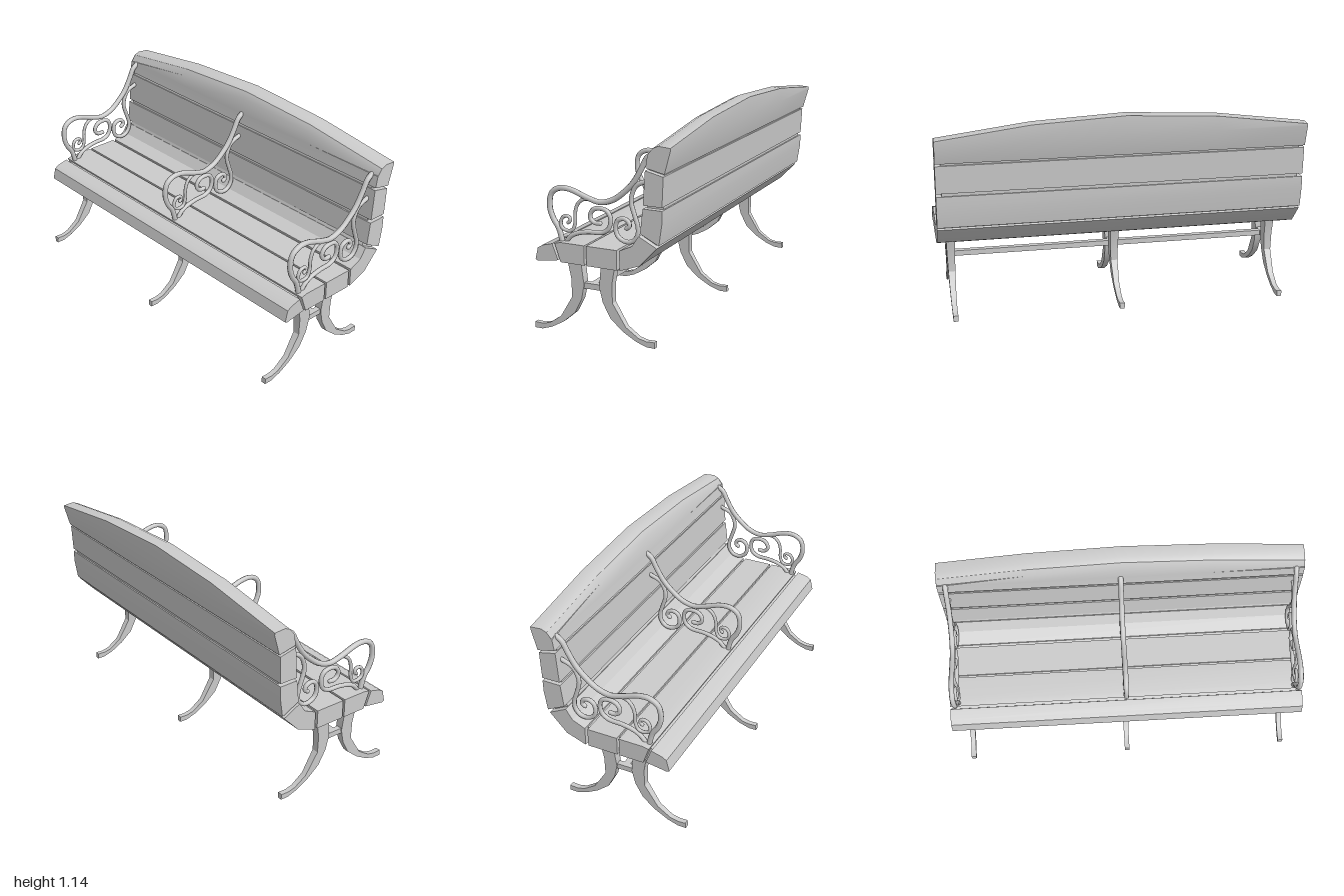
import * as THREE from 'three';
import { toCreasedNormals } from 'three/addons/utils/BufferGeometryUtils.js';

const material = new THREE.MeshStandardMaterial({ color: 0xcccccc });

function addMesh(parent, name, geometry) {
  const mesh = new THREE.Mesh(geometry, material);
  mesh.name = name;
  parent.add(mesh);
  return mesh;
}

// Extrudes a [z, y] side profile across x, centred on x = 0; rule(v) may move vertices.
function sideExtrude(profile, width, steps = 1, rule = null) {
  const shape = new THREE.Shape(profile.map(([z, y]) => new THREE.Vector2(z, y)));
  const geo = new THREE.ExtrudeGeometry(shape, { depth: width, steps, bevelEnabled: false });
  geo.rotateY(-Math.PI / 2).translate(width / 2, 0, 0);
  if (rule) {
    const pos = geo.attributes.position;
    const v = new THREE.Vector3();
    for (let i = 0; i < pos.count; i++) {
      rule(v.fromBufferAttribute(pos, i));
      pos.setXYZ(i, v.x, v.y, v.z);
    }
  }
  return toCreasedNormals(geo, 0.5);
}

// Boards from the front of the seat to the middle of the back
const planks = [
  [[0.35, 0.402], [0.335, 0.465], [0.31, 0.48], [0.25, 0.496], [0.218, 0.413], [0.335, 0.395]],
  [[0.236, 0.5], [0.2, 0.508], [0.067, 0.508], [0.067, 0.405], [0.203, 0.405]],
  [[0.055, 0.508], [-0.115, 0.508], [-0.115, 0.405], [0.055, 0.405]],
  [[-0.13, 0.508], [-0.2, 0.54], [-0.237, 0.595], [-0.334, 0.545], [-0.24, 0.445], [-0.13, 0.405]],
  [[-0.245, 0.61], [-0.26, 0.735], [-0.363, 0.735], [-0.362, 0.67], [-0.345, 0.56]],
  [[-0.262, 0.752], [-0.274, 0.924], [-0.37, 0.902], [-0.363, 0.752]],
];

// Top board, its upper edge arched along x
const topPlank = [
  [-0.277, 0.937], [-0.287, 1.0], [-0.293, 1.09], [-0.315, 1.125], [-0.345, 1.138],
  [-0.408, 1.133], [-0.408, 1.03], [-0.376, 0.915],
];
function archRule(v) {
  const a = Math.abs(v.x);
  if (v.y > 1.035) v.y -= a < 0.5 ? a * 0.052 : 0.026 + (a - 0.5) * 0.128;
}

// Inner shell that closes the gaps between the boards
const core = [
  [0.25, 0.482], [0.2, 0.497], [-0.13, 0.498], [-0.207, 0.537], [-0.25, 0.605], [-0.268, 0.735],
  [-0.282, 0.93], [-0.3, 0.97], [-0.37, 0.95], [-0.363, 0.9], [-0.355, 0.735], [-0.354, 0.67],
  [-0.333, 0.565], [-0.24, 0.455], [-0.13, 0.414], [0.2, 0.414], [0.25, 0.43],
];

// Front leg outline; the rear leg is its mirror image
const LEG_MID = 0.0615;
const leg = [
  [0.2, 0.42], [0.178, 0.305], [0.178, 0.205], [0.25, 0.088], [0.32, 0.04], [0.363, 0.03],
  [0.408, 0.032], [0.41, 0], [0.365, 0], [0.305, 0.02], [0.235, 0.06], [0.165, 0.12],
  [0.123, 0.2], [0.105, 0.28], [0.112, 0.34], [0.12, 0.42],
];
const taper = (v) => { v.x *= 2 * (0.013 + 0.03 * v.y); };

// Armrest centre lines in [z, y]
const armrestRods = {
  armRail: { r: 0.0145, pts: [
    [-0.29, 0.995], [-0.262, 0.975], [-0.23, 0.915], [-0.187, 0.845], [-0.133, 0.79],
    [-0.075, 0.748], [-0.005, 0.728], [0.066, 0.743], [0.166, 0.776], [0.227, 0.776],
    [0.272, 0.746], [0.284, 0.674], [0.266, 0.616], [0.235, 0.568], [0.213, 0.49]] },
  frontScroll: { r: 0.0095, pts: [
    [0.18, 0.603], [0.167, 0.616], [0.176, 0.634], [0.205, 0.632], [0.222, 0.605],
    [0.217, 0.575], [0.19, 0.561], [0.157, 0.567], [0.14, 0.605], [0.138, 0.66],
    [0.123, 0.705], [0.09, 0.733], [0.045, 0.738]] },
  middleScroll: { r: 0.012, pts: [
    [-0.002, 0.62], [0.028, 0.62], [0.051, 0.64], [0.051, 0.665], [0.03, 0.69],
    [-0.008, 0.697], [-0.045, 0.685], [-0.061, 0.65], [-0.05, 0.6], [-0.015, 0.575],
    [0.065, 0.568], [0.125, 0.555], [0.165, 0.535], [0.2, 0.495]] },
  rearScroll: { r: 0.012, pts: [
    [-0.15, 0.613], [-0.166, 0.628], [-0.157, 0.65], [-0.133, 0.66], [-0.1, 0.647],
    [-0.088, 0.61], [-0.1, 0.568], [-0.139, 0.545], [-0.18, 0.55], [-0.208, 0.583],
    [-0.211, 0.628], [-0.195, 0.68], [-0.176, 0.75], [-0.185, 0.8], [-0.21, 0.838],
    [-0.275, 0.865]] },
};

function addRod(parent, name, { r, pts }) {
  const path = pts.map(([z, y]) => new THREE.Vector3(0, y, z));
  const curve = new THREE.CatmullRomCurve3(path);
  addMesh(parent, name, new THREE.TubeGeometry(curve, pts.length * 4, r, 8));
  for (const end of [path[0], path[path.length - 1]]) {
    addMesh(parent, name + 'End', new THREE.SphereGeometry(r, 8, 6)).position.copy(end);
  }
}

export function createModel() {
  const bench = new THREE.Group();
  bench.name = 'bench';

  // Seat and back boards
  planks.forEach((p, i) =>
    addMesh(bench, i < 3 ? 'seatPlank' : 'backPlank', sideExtrude(p, 2)));
  addMesh(bench, 'topPlank', sideExtrude(topPlank, 2, 4, archRule));
  addMesh(bench, 'innerShell', sideExtrude(core, 1.94));

  // Leg pairs with a short tie between them
  const rearLeg = leg.map(([z, y]) => [2 * LEG_MID - z, y]);
  for (const x of [-0.927, -0.005, 0.92]) {
    const frame = new THREE.Group();
    frame.name = 'legFrame';
    frame.position.x = x;
    addMesh(frame, 'frontLeg', sideExtrude(leg, 1, 1, taper));
    addMesh(frame, 'rearLeg', sideExtrude(rearLeg, 1, 1, taper));
    addMesh(frame, 'legTie', new THREE.BoxGeometry(0.03, 0.03, 0.1)).position.set(0, 0.275, LEG_MID);
    bench.add(frame);
  }

  // Long stretcher under the seat
  addMesh(bench, 'stretcher', new THREE.BoxGeometry(1.83, 0.03, 0.035)).position.set(0, 0.275, LEG_MID);

  // Scrolled armrests
  for (const x of [-0.953, -0.003, 0.955]) {
    const arm = new THREE.Group();
    arm.name = 'armrest';
    arm.position.x = x;
    for (const [name, rod] of Object.entries(armrestRods)) addRod(arm, name, rod);
    bench.add(arm);
  }
  return bench;
}
